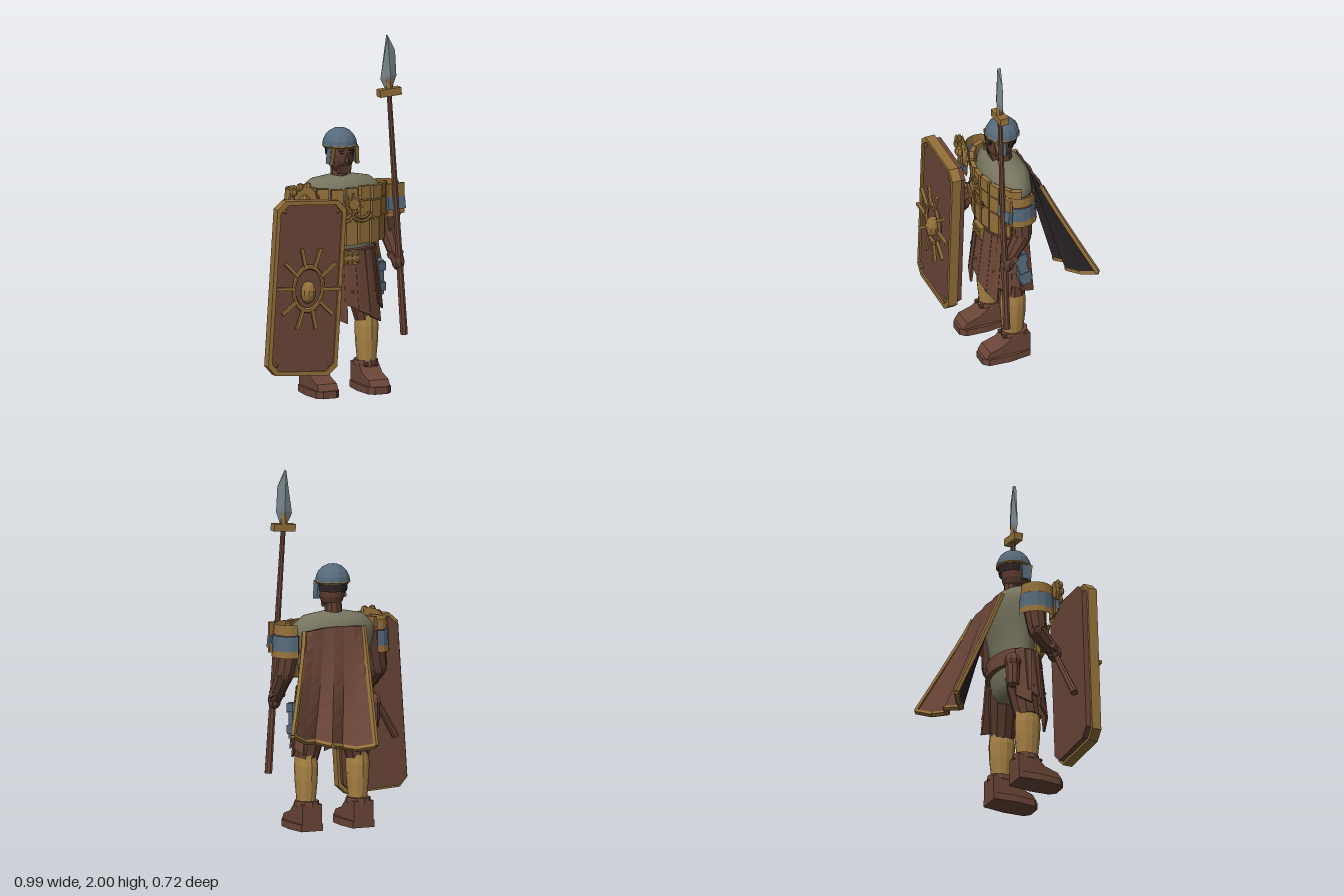
import * as THREE from 'three';
import { ConvexGeometry } from 'three/addons/geometries/ConvexGeometry.js';

const V = (x, y, z) => new THREE.Vector3(x, y, z);
const mat = (name, color, extra = {}) => {
  const m = new THREE.MeshStandardMaterial({ color, ...extra });
  m.name = name;
  return m;
};

export function createModel() {
  const flat = { flatShading: true };
  const leather = mat('brown leather', 0x6b4638, { ...flat, side: THREE.DoubleSide });
  const skin = mat('dark skin', 0x5e3d31, flat);
  const gold = mat('old gold', 0x94703a, { ...flat, side: THREE.DoubleSide });
  const greaveGold = mat('greave gold', 0xa98346, flat);
  const blue = mat('slate blue', 0x566a7b, { ...flat, side: THREE.DoubleSide });
  const cloth = mat('olive grey cloth', 0x77755f);
  const steel = mat('steel', 0x7b898e, flat);
  const dark = mat('dark lining', 0x2c2527, { ...flat, side: THREE.DoubleSide });

  const root = new THREE.Group();
  root.name = 'shieldBearer';
  const CX = 0.06, CZ = 0.04; // body axis
  const add = (name, geo, m, pos = [0, 0, 0], rot = [0, 0, 0], scale = [1, 1, 1], parent = root) => {
    const mesh = new THREE.Mesh(geo, m);
    mesh.name = name;
    mesh.position.set(...pos);
    mesh.rotation.set(rot[0], rot[1], rot[2], 'YXZ');
    mesh.scale.set(...scale);
    parent.add(mesh);
    return mesh;
  };
  const box = (w, h, d) => new THREE.BoxGeometry(w, h, d);
  const cyl = (r1, r2, h, n = 10) => new THREE.CylinderGeometry(r1, r2, h, n);
  const ball = (r, w = 10, h = 7) => new THREE.SphereGeometry(r, w, h);
  const limb = (name, a, b, ra, rb, m, n = 9) => {
    const d = b.clone().sub(a);
    const mesh = add(name, cyl(rb, ra, d.length(), n), m, a.clone().add(b).multiplyScalar(0.5).toArray());
    mesh.quaternion.setFromUnitVectors(V(0, 1, 0), d.normalize());
    return mesh;
  };
  const polygon = (pts, depth) => new THREE.ExtrudeGeometry(
    new THREE.Shape(pts.map(p => new THREE.Vector2(...p))), { depth, bevelEnabled: false });
  // place on an ellipse around the body, facing outward
  const around = (t, rx, rz) => ({
    pos: y => [CX + rx * Math.sin(t), y, CZ + rz * Math.cos(t)],
    yaw: Math.atan2(Math.sin(t) / rx, Math.cos(t) / rz),
  });

  // Torso, hips and belt
  const lathe = (pts, n = 24) => new THREE.LatheGeometry(pts.map(p => new THREE.Vector2(...p)), n);
  add('tunic', lathe([[0, 0.56], [0.12, 0.57], [0.18, 0.63], [0.19, 0.72], [0.19, 0.84], [0.22, 0.98],
    [0.25, 1.08], [0.235, 1.15], [0.18, 1.195], [0.08, 1.215], [0, 1.22]]), cloth, [CX, 0, 0.035], [0, 0, 0], [1, 1, 0.52]);
  add('belt', cyl(0.198, 0.204, 0.09, 20), leather, [CX, 0.765, CZ], [0, 0, 0], [1, 1, 0.66]);
  add('buckle', box(0.095, 0.075, 0.03), gold, [CX, 0.77, 0.185]);
  for (const i of [-1, 0, 1]) for (const j of [-1, 1])
    add('buckleStud', ball(0.011, 6, 4), gold, [CX + i * 0.03, 0.77 + j * 0.02, 0.2]);

  // Skirt of ragged leather strips, open at the back
  const hems = [0.30, 0.26, 0.34, 0.31, 0.36, 0.29, 0.33, 0.37, 0.31, 0.29, 0.33];
  hems.forEach((h, i) => {
    const a = around((i - 5) * 0.36, 0.19, 0.125);
    const strip = polygon([[-0.045, 0], [-0.046, -h], [0.045, -h - 0.04], [0.045, 0]], 0.012);
    add('skirtStrip', strip, leather, a.pos(0.8), [-0.11, a.yaw, 0]);
    if (i % 2) add('skirtStud', ball(0.009, 6, 4), gold, around((i - 5) * 0.36, 0.225, 0.165).pos(0.58));
  });

  // Plated cuirass: three rows of plates wrapping the front
  for (let i = -4; i <= 4; i++) {
    const rows = [[1.125, 0.075], [1.03, 0.095], [0.905, 0.13]];
    rows.forEach(([y, h], r) => {
      if (r === 2 && Math.abs(i) === 4) return;
      const a = around(i * 0.33, 0.262 - r * 0.008, 0.148 - r * 0.004);
      add('cuirassPlate', box(0.066, h, 0.026), gold, a.pos(y + (i % 2) * 0.006), [0, a.yaw, 0]);
    });
    const s = around(i * 0.33, 0.255, 0.142);
    add('cuirassStrap', box(0.04, 0.3, 0.012), gold, s.pos(1.0), [0, s.yaw, 0]);
  }
  // Chest ornament
  add('chestDisc', cyl(0.032, 0.032, 0.025, 10), gold, [CX, 1.075, 0.215], [Math.PI / 2, 0, 0]);
  for (let i = 0; i < 10; i++) {
    const t = i * Math.PI / 5;
    add('chestRay', box(0.011, 0.03, 0.014), gold,
      [CX - 0.045 * Math.sin(t), 1.075 + 0.045 * Math.cos(t), 0.213], [0, 0, t]);
  }
  for (const s of [-1, 1]) for (const r of [0.045, 0.065])
    add('chestScroll', new THREE.TorusGeometry(r, 0.008, 5, 8, Math.PI * 0.8), gold,
      [CX + s * 0.055, 1.04, 0.208], [0, 0, Math.PI + 0.3]);

  // Head, face and neck
  add('neck', cyl(0.045, 0.052, 0.12, 10), skin, [0.055, 1.235, 0.035]);
  add('head', ball(1, 14, 10), skin, [0.055, 1.335, 0.055], [0, 0, 0], [0.073, 0.11, 0.082]);
  add('jaw', box(0.07, 0.05, 0.06), skin, [0.055, 1.26, 0.09], [0.2, 0, 0]);
  add('nose', new THREE.ConeGeometry(0.016, 0.05, 4), skin, [0.055, 1.325, 0.142]);
  add('mouth', box(0.036, 0.008, 0.006), dark, [0.055, 1.28, 0.127]);
  for (const s of [-1, 1]) {
    add('eye', box(0.02, 0.009, 0.006), dark, [0.055 + s * 0.028, 1.345, 0.132], [0, s * 0.3, 0]);
    add('brow', box(0.03, 0.008, 0.008), dark, [0.055 + s * 0.029, 1.361, 0.13], [0, s * 0.3, -s * 0.15]);
  }
  // Helmet
  add('helmetDome', new THREE.SphereGeometry(0.097, 12, 5, 0, Math.PI * 2, 0, Math.PI / 2), blue, [0.055, 1.383, 0.042]);
  add('helmetRim', new THREE.TorusGeometry(0.09, 0.009, 5, 14), gold, [0.055, 1.381, 0.042], [Math.PI / 2, 0, 0]);
  add('napeBand', new THREE.CylinderGeometry(0.085, 0.08, 0.05, 12, 1, true, Math.PI / 2, Math.PI), dark, [0.055, 1.355, 0.042]);
  for (const s of [-1, 1]) {
    add('cheekGuard', box(0.016, 0.1, 0.05), blue, [0.055 + s * 0.078, 1.335, 0.08], [0, 0, s * 0.1]);
    add('cheekTrim', box(0.02, 0.1, 0.012), gold, [0.055 + s * 0.075, 1.33, 0.107], [0.15, 0, s * 0.1]);
  }

  // Legs, greaves and boots
  const bootShape = polygon([[-0.03, 0.04], [-0.03, 0.15], [0.075, 0.15], [0.13, 0.1], [0.21, 0.075], [0.235, 0.04]], 0.12);
  bootShape.translate(0, 0, -0.06);
  for (const s of [-1, 1]) {
    const x = 0.057 + s * 0.157;
    limb('thigh', V(CX + s * 0.1, 0.66, 0.035), V(x, 0.4, 0.05), 0.088, 0.068, skin, 10);
    add('greave', lathe([[0.05, 0.13], [0.053, 0.18], [0.062, 0.28], [0.064, 0.36], [0.058, 0.43], [0, 0.43]], 12),
      greaveGold, [x, 0, 0.05], [0, 0, 0], [1, 1, 1.18]);
    add('bootUpper', bootShape, leather, [x, 0, 0], [0, -Math.PI / 2, 0]);
    add('bootSole', polygon([[-0.065, -0.03], [0.065, -0.03], [0.08, 0.1], [0.07, 0.22], [0.04, 0.25],
      [-0.04, 0.25], [-0.07, 0.22], [-0.08, 0.1]], 0.04), leather, [x, 0.04, 0], [Math.PI / 2, 0, 0]);
    add('bootCuff', cyl(0.066, 0.068, 0.03, 10), leather, [x, 0.15, 0.04], [0, 0, 0], [1, 1, 1.15]);
    for (const j of [-1, 1]) add('bootStud', ball(0.013, 6, 4), leather, [x + j * 0.03, 0.145, 0.115]);
  }

  // Arms and banded shoulder guards
  for (const s of [-1, 1]) {
    const hand = s > 0 ? V(0.36, 0.72, 0.15) : V(-0.215, 0.77, 0.16);
    const elbow = V(CX + s * 0.285, 0.88, 0.05);
    limb('upperArm', V(CX + s * 0.245, 1.1, 0.045), elbow, 0.07, 0.053, skin);
    add('elbow', ball(0.053, 8, 6), skin, elbow.toArray());
    limb('forearm', elbow, hand, 0.052, 0.036, skin);
    add('wristBand', cyl(0.042, 0.046, 0.04, 9), leather, elbow.clone().lerp(hand, 0.75).toArray(), [0.5, 0, 0]);
    add('hand', ball(0.042, 8, 6), skin, hand.toArray(), [0, 0, 0], [0.9, 1.2, 1]);
    const bands = [[1.13, 0.06, gold, 0.085], [1.055, 0.085, blue, 0.092], [0.995, 0.04, gold, 0.094]];
    bands.forEach(([y, h, m, r]) => {
      const start = s > 0 ? -0.35 : Math.PI - 0.15;
      add('shoulderBand', new THREE.CylinderGeometry(r - 0.004, r, h, 8, 1, true, start, Math.PI + 0.5), m,
        [CX + s * 0.255, y, 0.06], [0, 0, 0], [1, 1, 1.1]);
    });
    add('shoulderPlate', box(0.11, 0.17, 0.016), gold, [CX + s * 0.285, 1.075, 0.15], [0, s * 0.15, 0]);
    add('shoulderInset', box(0.112, 0.07, 0.024), blue, [CX + s * 0.285, 1.05, 0.153], [-0.15, s * 0.15, 0]);
  }
  // Rosette on the right shoulder
  add('rosette', cyl(0.075, 0.085, 0.02, 12), gold, [-0.22, 1.115, 0.16], [Math.PI / 2, -0.25, 0]);
  add('rosetteBoss', ball(0.03, 8, 5), gold, [-0.22, 1.115, 0.175]);
  for (let i = 0; i < 10; i++) {
    const t = i * Math.PI / 5;
    add('rosettePetal', ball(0.024, 6, 4), gold, [-0.22 + 0.075 * Math.cos(t), 1.115 + 0.075 * Math.sin(t), 0.165], [0, 0, 0], [1, 1, 0.5]);
  }

  // Baton, hip pouch and scabbard
  limb('baton', V(-0.2, 0.79, 0.165), V(-0.4, 0.46, 0.19), 0.017, 0.021, leather, 8);
  add('hipRoll', cyl(0.042, 0.036, 0.15, 9), leather, [-0.14, 0.64, -0.06]);
  add('hipRollKnob', ball(0.048, 9, 6), leather, [-0.14, 0.71, -0.06]);
  const scabbard = new THREE.Group();
  scabbard.name = 'scabbard';
  scabbard.position.set(0.3, 0.62, 0.03);
  scabbard.rotation.set(0.18, 0, 0.08);
  root.add(scabbard);
  add('scabbardBody', box(0.036, 0.2, 0.055), blue, [0, 0, 0], [0, 0, 0], [1, 1, 1], scabbard);
  for (const y of [0.07, -0.05]) add('scabbardBand', box(0.048, 0.05, 0.075), blue, [0, y, 0], [0, 0, 0], [1, 1, 1], scabbard);

  // Spear
  limb('spearShaft', V(0.39, 0.31, 0.165), V(0.296, 1.72, 0.165), 0.022, 0.014, leather, 8);
  add('spearCollar', box(0.13, 0.042, 0.05), gold, [0.299, 1.68, 0.165], [0, 0, 0.07]);
  add('spearBlade', new ConvexGeometry([V(0.286, 2, 0.175), V(0.286, 2, 0.155), V(0.335, 1.91, 0.165), V(0.343, 1.77, 0.165),
    V(0.318, 1.7, 0.165), V(0.275, 1.7, 0.165), V(0.246, 1.755, 0.165), V(0.298, 1.78, 0.185), V(0.298, 1.78, 0.145)]), steel);
  limb('bladeRib', V(0.298, 1.7, 0.165), V(0.29, 1.93, 0.165), 0.021, 0.008, gold, 6);

  // Shield: board, gold frame, sun emblem
  const shield = new THREE.Group();
  shield.name = 'shield';
  shield.position.set(-0.262, 0.643, 0);
  shield.rotation.z = -0.065;
  root.add(shield);
  const put = (name, geo, m, pos, rot, scale) => add(name, geo, m, pos, rot, scale, shield);
  const outline = (w, h, c) => [[-w + c, -h], [w - c, -h], [w, -h + c], [w, h - c], [w - c, h], [-w + c, h], [-w, h - c], [-w, -h + c]];
  put('shieldBoard', polygon(outline(0.195, 0.475, 0.05), 0.075), leather, [0, 0, 0.222]);
  const frame = new THREE.Shape(outline(0.21, 0.49, 0.05).map(p => new THREE.Vector2(...p)));
  frame.holes.push(new THREE.Path(outline(0.187, 0.467, 0.045).map(p => new THREE.Vector2(...p)).reverse()));
  put('shieldFrame', new THREE.ExtrudeGeometry(frame, { depth: 0.055, bevelEnabled: false }), gold, [0, 0, 0.252]);
  for (const x of [-1, 1]) for (const y of [-1, 1]) put('shieldBolt', ball(0.013, 6, 4), gold, [x * 0.16, y * 0.43, 0.302]);
  put('sunRing', new THREE.TorusGeometry(0.088, 0.011, 6, 18), gold, [0, 0, 0.318], [0, 0, 0], [1, 1.4, 1]);
  put('sunBoss', ball(0.043, 10, 7), gold, [0, -0.02, 0.32], [0, 0, 0], [1, 1.5, 1]);
  for (let i = 0; i < 10; i++) {
    const t = (i + 0.5) * Math.PI / 5;
    const ex = Math.sin(t), ey = Math.cos(t);
    put('sunRay', box(0.018, 0.11, 0.016), gold, [0.138 * ex, 0.182 * ey, 0.326], [0, 0, Math.atan2(-ex, ey * 1.2)]);
  }

  // Cape: folded sheet with dark lining and gold hem
  const bx = [0.48, 0.38, 0.3, 0.22, 0.13, 0.06, -0.025], by = [0.6, 0.55, 0.54, 0.52, 0.5, 0.49, 0.51];
  const bz = [-0.35, -0.3, -0.245, -0.305, -0.245, -0.3, -0.355];
  const cape = (i, v, off = 0) => {
    const u = i / 6;
    return V(THREE.MathUtils.lerp(0.29 - 0.36 * u, bx[i], v ** 1.15),
      THREE.MathUtils.lerp(1.1 + 0.05 * Math.sin(Math.PI * (0.2 + u * 0.5)), by[i], v),
      THREE.MathUtils.lerp(-0.095 - 0.008 * (i % 2), bz[i], v ** (i % 2 ? 1.2 : 1.05)) + off);
  };
  const sheet = off => {
    const pos = [], idx = [], rows = 8;
    for (let r = 0; r <= rows; r++) for (let i = 0; i < 7; i++) pos.push(...cape(i, r / rows, off).toArray());
    for (let r = 0; r < rows; r++) for (let i = 0; i < 6; i++) {
      const a = r * 7 + i;
      idx.push(a, a + 1, a + 7, a + 1, a + 8, a + 7);
    }
    const g = new THREE.BufferGeometry();
    g.setAttribute('position', new THREE.Float32BufferAttribute(pos, 3));
    g.setIndex(idx);
    g.computeVertexNormals();
    return g;
  };
  add('cape', sheet(0), leather);
  add('capeLining', sheet(0.014), dark);
  const trim = (name, pts) => pts.slice(1).forEach((p, i) => limb(name, pts[i], p, 0.016, 0.016, gold, 5));
  const steps = [0, 1, 2, 3, 4, 5, 6];
  trim('capeHem', steps.map(i => cape(i, 1, 0.005)));
  for (const side of [0, 6]) trim('capeEdge', steps.map(k => cape(side, k / 6, 0.005)));
  return root;
}
